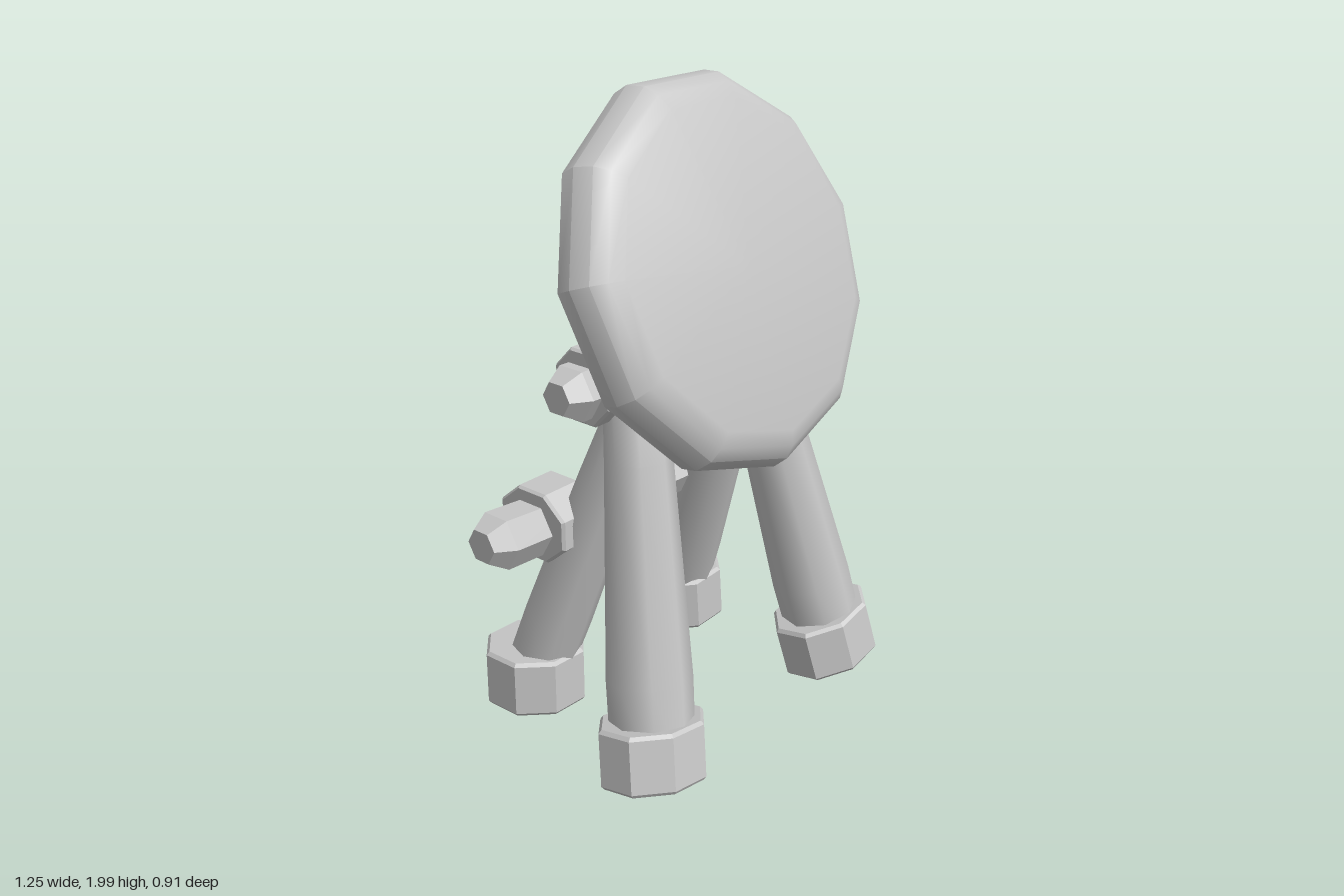
import * as THREE from 'three';
import { toCreasedNormals } from 'three/addons/utils/BufferGeometryUtils.js';

const stone = new THREE.MeshStandardMaterial({ color: 0xc6c6c6 });
stone.name = 'plain grey';

const V = (x, y, z) => new THREE.Vector3(x, y, z);

// Turned solid: profile of [radius, height] pairs, listed upwards
function turned(profile, sides, crease) {
  const g = new THREE.LatheGeometry(profile.map(([r, y]) => new THREE.Vector2(r, y)), sides);
  g.deleteAttribute('normal');
  g.deleteAttribute('uv');
  return toCreasedNormals(g, crease);
}

function part(name, geometry) {
  const m = new THREE.Mesh(geometry, stone);
  m.name = name;
  return m;
}

// Stand a +y solid on point a, aimed at point b
function aim(mesh, a, b) {
  mesh.position.copy(a);
  mesh.quaternion.setFromUnitVectors(V(0, 1, 0), b.clone().sub(a).normalize());
  return mesh;
}

// Closed sleeve with slightly softened rims
function sleeve(r, h) {
  return [[0, 0], [r * 0.94, 0], [r, h * 0.06], [r, h * 0.94], [r * 0.94, h], [0, h]];
}

// Rough crossbar along x with pointed ends, sagging in the middle
function crossbar(name, x0, x1, r, sag, y, z, skew) {
  const len = x1 - x0;
  const stations = [[0, 0], [r * 0.6, 0], [r, 0.06], [r * 0.95, len * 0.3], [r * 0.85, len * 0.5],
    [r * 0.95, len * 0.7], [r, len - 0.06], [r * 0.6, len], [0, len]];
  const g = turned(stations, 6, 0.5);
  g.rotateZ(-Math.PI / 2);
  g.translate(x0, 0, 0);
  const p = g.attributes.position;
  for (let i = 0; i < p.count; i++) {
    const t = (p.getX(i) - x0) / len;
    p.setY(i, p.getY(i) - sag * Math.sin(Math.PI * t));
    p.setZ(i, p.getZ(i) + skew * (t - 0.5));
  }
  g.computeVertexNormals();
  const m = part(name, g);
  m.position.set(0, y, z);
  return m;
}

// Binding wrapped round a crossbar
function binding(name, x, y, z, r, width, depth) {
  const g = turned(sleeve(r, width), 8, 0.5);
  g.translate(0, -width / 2, 0);
  g.rotateY(Math.PI / 8);
  g.rotateZ(-Math.PI / 2);
  g.scale(1, 1, depth);
  const m = part(name, g);
  m.position.set(x, y, z);
  return m;
}

export function createModel() {
  const model = new THREE.Group();
  model.name = 'targetStand';

  // Thick eleven-sided disc leaning back
  const disc = turned([[0, -0.105], [0.45, -0.105], [0.525, -0.09], [0.57, -0.055], [0.58, 0],
    [0.56, 0.055], [0.525, 0.088], [0.48, 0.105], [0, 0.105]], 11, 0.62);
  disc.rotateX(Math.PI / 2);
  const target = part('targetDisc', disc);
  target.position.set(-0.03, 1.468, 0.185);
  target.rotation.x = -0.365;
  model.add(target);

  for (const s of [1, -1]) {
    const side = s > 0 ? 'left' : 'right';

    // Front leg, capped and poking out at the top
    const foot = V(s * 0.45, 0.04, 0.295);
    const top = V(s * 0.215, 1.44, 0.01);
    const len = foot.distanceTo(top);
    model.add(aim(part(side + 'FrontLeg', turned([[0, 0.03], [0.125, 0.03], [0.128, 0.3],
      [0.1, len * 0.65], [0.085, len - 0.02], [0.05, len + 0.04], [0, len]], 8, 0.9)), foot, top));
    const shoe = turned(sleeve(0.172, 0.18), 8, 0.5);
    shoe.rotateY(Math.PI / 8);
    shoe.scale(1.03, 1, 0.9);
    model.add(aim(part(side + 'FrontFoot', shoe), foot, top));
    const capBase = foot.clone().lerp(top, 1 - 0.16 / len);
    model.add(aim(part(side + 'LegCap', turned(sleeve(0.108, 0.16), 8, 0.5)), capBase, top));

    // Back leg, running forward up to the upper crossbar
    const heel = V(s * 0.35, 0.06, -0.315);
    const joint = V(s * 0.225, 1.16, 0.075);
    const reach = heel.distanceTo(joint);
    model.add(aim(part(side + 'BackLeg', turned([[0, 0.02], [0.105, 0.02], [0.107, 0.3],
      [0.095, reach * 0.7], [0.08, reach], [0, reach]], 8, 0.9)), heel, joint));
    const block = turned(sleeve(0.165, 0.185), 8, 0.5);
    block.rotateY(Math.PI / 8);
    const backFoot = aim(part(side + 'BackFoot', block), V(s * 0.35, 0.03, -0.298), V(s * 0.342, 0.23, -0.305));
    model.add(backFoot);

    // Bindings on both crossbars
    model.add(binding(side + 'UpperBinding', s * 0.36, 1.19, 0.015, 0.118, 0.13, 0.95));
    model.add(binding(side + 'LowerBinding', s * 0.325 - 0.015, 0.685, -0.21 + s * 0.01, 0.122, 0.15, 1.18));
  }

  // Crossbars joining the legs
  model.add(crossbar('upperCrossbar', -0.52, 0.48, 0.085, 0.01, 1.185, 0.01, 0));
  model.add(crossbar('lowerCrossbar', -0.61, 0.64, 0.092, 0.022, 0.685, -0.205, 0.05));

  return model;
}
